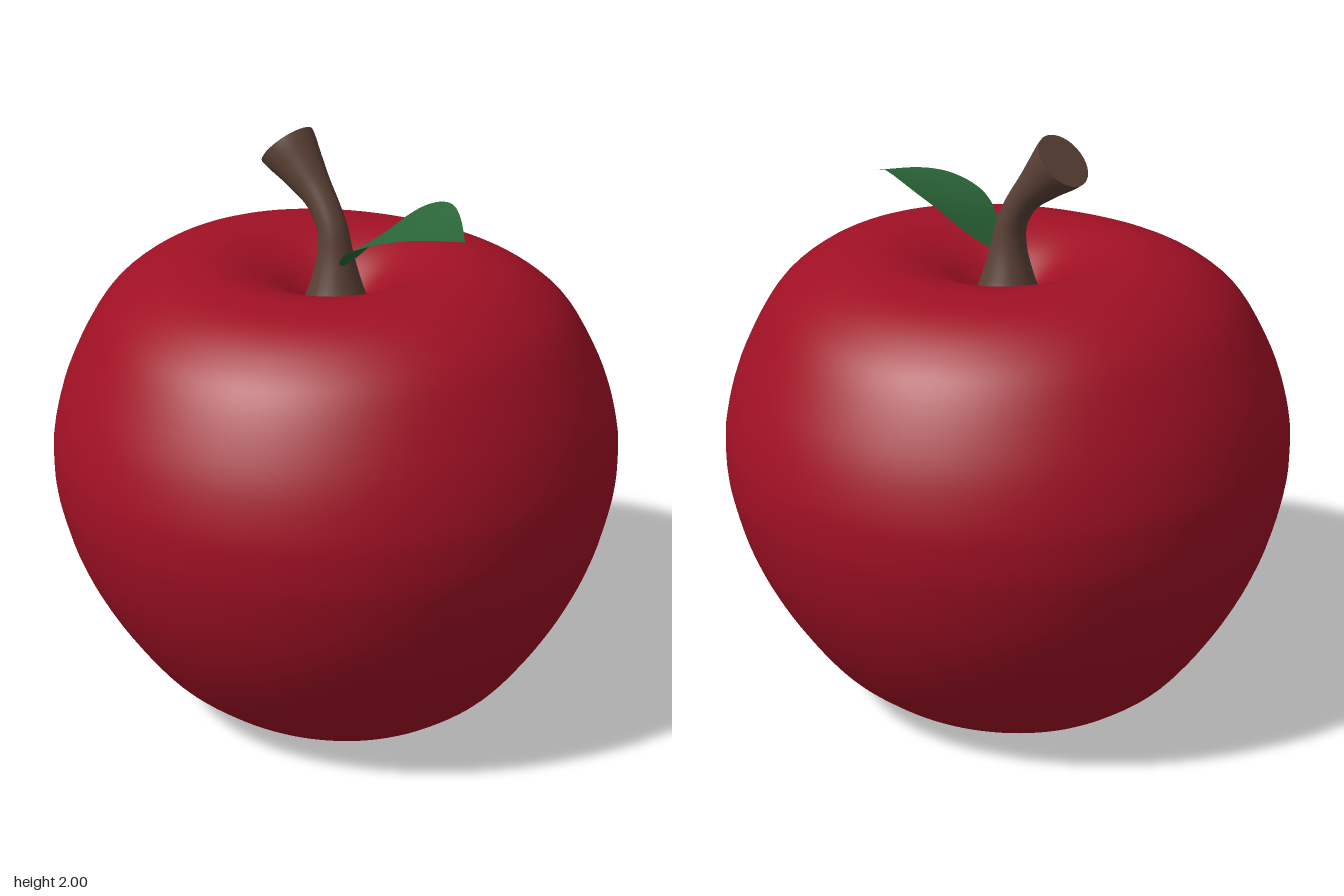
import * as THREE from 'three';

const mat = (color, side = THREE.FrontSide) => new THREE.MeshStandardMaterial({ color, side });

function add(group, name, geometry, material) {
  const mesh = new THREE.Mesh(geometry, material);
  mesh.name = name;
  group.add(mesh);
  return mesh;
}

// Move every vertex of a geometry by a rule
function deform(geometry, rule) {
  const pos = geometry.attributes.position;
  const v = new THREE.Vector3();
  for (let i = 0; i < pos.count; i++) {
    rule(v.fromBufferAttribute(pos, i), i);
    pos.setXYZ(i, v.x, v.y, v.z);
  }
  return geometry;
}

// Fruit: turned profile, dimpled at both poles, the rims slightly saddle shaped
function fruitGeometry() {
  const profile = new THREE.SplineCurve([
    [0, 0.1], [0.1, 0.075], [0.22, 0.025], [0.33, 0.008], [0.45, 0.035], [0.55, 0.1],
    [0.655, 0.2], [0.79, 0.4], [0.885, 0.6], [0.939, 0.8], [0.95, 0.93], [0.94, 1.05],
    [0.89, 1.22], [0.79, 1.41], [0.69, 1.51], [0.57, 1.575], [0.44, 1.6], [0.33, 1.585],
    [0.22, 1.54], [0.13, 1.475], [0.07, 1.42], [0, 1.39],
  ].map(([r, y]) => new THREE.Vector2(r, y)));
  const points = profile.getPoints(90);
  points.forEach((p) => { p.x = Math.max(p.x, 0); });
  return deform(new THREE.LatheGeometry(points, 96), (v) => {
    v.y += 0.05 * (v.x * v.x - v.z * v.z) * (v.y - 0.8) / 0.8;
  });
}

// Stem: bent tube, flared at the root and widening to a flat cut end
function buildStem(group, material) {
  const path = new THREE.CatmullRomCurve3([
    [0, 1.41], [0, 1.5], [-0.003, 1.6], [-0.015, 1.69], [-0.06, 1.775], [-0.14, 1.86], [-0.218, 1.935],
  ].map(([x, y]) => new THREE.Vector3(x, y, 0)));
  const radii = new THREE.SplineCurve([
    [0, 0.12], [0.1, 0.086], [0.2, 0.06], [0.32, 0.05], [0.5, 0.053], [0.75, 0.074], [1, 0.098],
  ].map(([t, r]) => new THREE.Vector2(t, r)));
  const rings = 40, sides = 32;
  const tube = deform(new THREE.TubeGeometry(path, rings, 1, sides), (v, i) => {
    const t = Math.floor(i / (sides + 1)) / rings;
    const centre = path.getPointAt(t);
    v.sub(centre).multiplyScalar(radii.getPoint(t).y).add(centre);
  });
  tube.computeVertexNormals();
  add(group, 'stem', tube, material);

  const end = path.getPointAt(1);
  const cap = add(group, 'stemEnd', new THREE.CircleGeometry(0.098, sides), material);
  cap.position.copy(end);
  cap.lookAt(end.clone().add(path.getTangentAt(1)));
}

// Leaf: thin arched blade, tilted sideways and slightly cupped about its midrib
function leafGeometry() {
  const midrib = new THREE.SplineCurve([
    [0.05, 1.585], [0.1, 1.64], [0.17, 1.705], [0.25, 1.752], [0.35, 1.788], [0.44, 1.795], [0.535, 1.775],
  ].map(([x, y]) => new THREE.Vector2(x, y)));
  const width = new THREE.SplineCurve([
    [0, 0.012], [0.1, 0.095], [0.24, 0.15], [0.4, 0.172], [0.6, 0.148], [0.8, 0.088], [1, 0],
  ].map(([t, w]) => new THREE.Vector2(t, w)));
  const geometry = deform(new THREE.PlaneGeometry(1, 2, 32, 14), (v) => {
    const t = v.x + 0.5, s = -v.y;
    const p = midrib.getPoint(t);
    const z = s * width.getPoint(t).y;
    v.set(p.x, p.y - 0.2 * z + 0.35 * z * z, z - 0.012 * Math.sin(t * Math.PI / 2));
  });
  geometry.computeVertexNormals();
  return geometry;
}

export function createModel() {
  const apple = new THREE.Group();
  apple.name = 'apple';
  add(apple, 'fruit', fruitGeometry(), mat(0xa01024));
  buildStem(apple, mat(0x5a4035));
  add(apple, 'leaf', leafGeometry(), mat(0x2a6638, THREE.DoubleSide));
  return apple;
}
